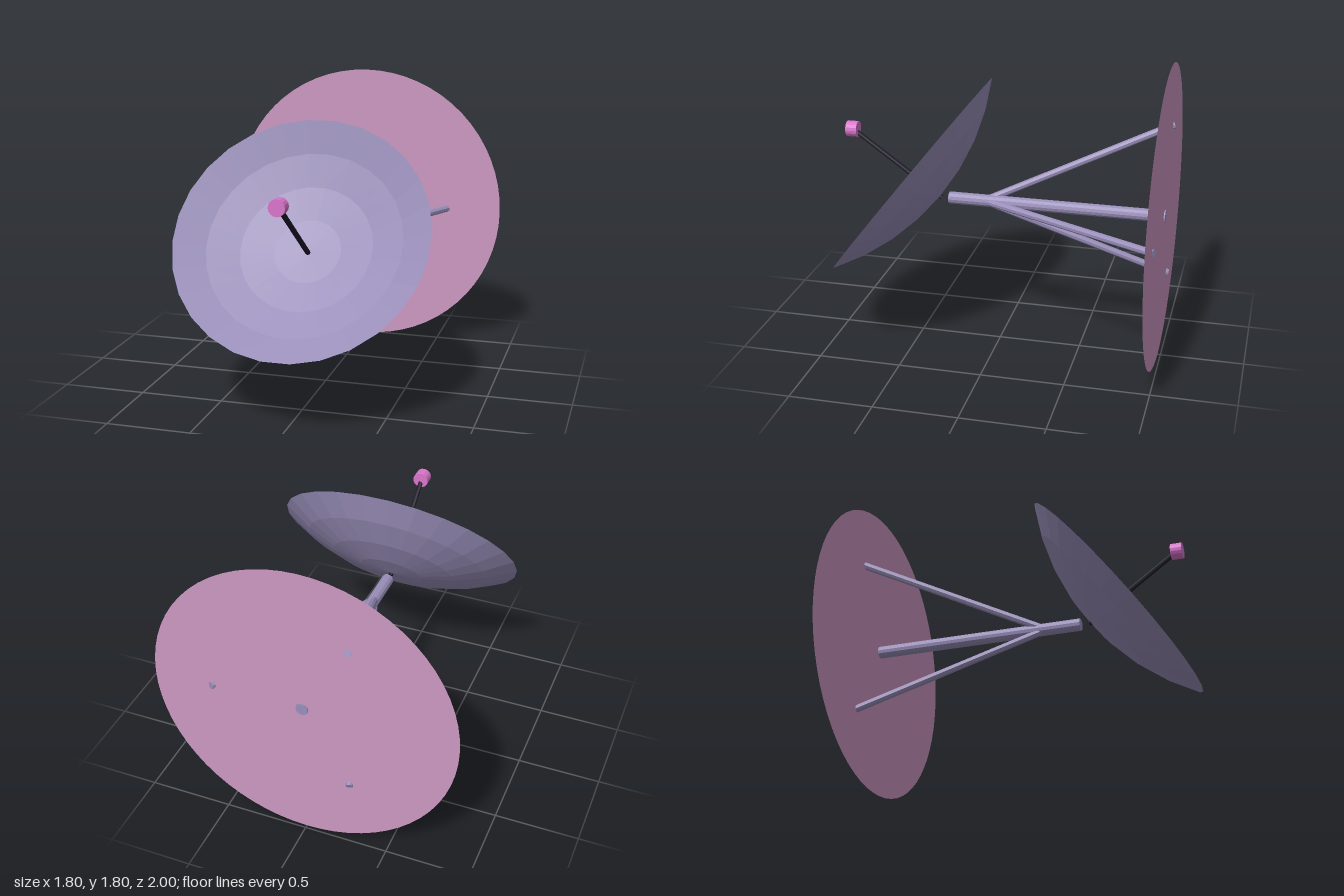
import * as THREE from 'three';

const mat = (name, color, side = THREE.FrontSide) => {
  const m = new THREE.MeshStandardMaterial({ color, side, flatShading: true });
  m.name = name;
  return m;
};

export function createModel() {
  const group = new THREE.Group();
  const lavender = mat('lavender metal', 0x9a8fba);
  const dishPaint = mat('lavender dish', 0x9a8fba, THREE.DoubleSide);
  const mauve = mat('mauve plate', 0xcb98c1, THREE.DoubleSide);
  const pink = mat('pink receiver', 0xda75cb);
  const black = mat('dark arm', 0x1d1a29);

  const add = (name, geometry, material) => {
    const mesh = new THREE.Mesh(geometry, material);
    mesh.name = name;
    group.add(mesh);
    return mesh;
  };

  // Round bar between two points
  const bar = (name, from, to, radius, sides, material) => {
    const a = new THREE.Vector3(...from), b = new THREE.Vector3(...to);
    const dir = b.clone().sub(a);
    const mesh = add(name, new THREE.CylinderGeometry(radius, radius, dir.length(), sides), material);
    mesh.position.copy(a).add(b).multiplyScalar(0.5);
    mesh.quaternion.setFromUnitVectors(new THREE.Vector3(0, 1, 0), dir.normalize());
    return mesh;
  };

  const axisY = 0.9;

  // Thin round mounting plate at the back
  add('mountingPlate', new THREE.CircleGeometry(0.9, 64), mauve).position.set(0, axisY, -0.982);

  // Central mast and three splayed struts
  bar('mast', [0, axisY + 0.005, -0.99], [0, axisY + 0.005, 0.315], 0.037, 12, lavender);
  for (let i = 0; i < 3; i++) {
    const t = (i * Math.PI * 2) / 3;
    bar('strut', [0, axisY + 0.003, 0.1],
      [0.55 * Math.cos(t), axisY + 0.003 + 0.55 * Math.sin(t), -0.99], 0.022, 8, lavender);
  }

  // Dish: shallow spherical cap, facing forward and up
  const R = 1.4, halfAngle = Math.asin(0.745 / R), sides = 28;
  const profile = [];
  for (let i = 0; i <= 4; i++) {
    const a = (halfAngle * i) / 4;
    profile.push(new THREE.Vector2(R * Math.sin(a), R * (Math.cos(halfAngle) - Math.cos(a))));
  }
  const dish = add('dish', new THREE.LatheGeometry(profile, sides, Math.PI / sides), dishPaint);
  dish.position.set(0, 1.0425, 0.5425);
  dish.rotation.x = Math.atan2(0.915, 1.175) * -1 + Math.PI / 2;

  // Feed arm with the receiver at its tip
  bar('feedArm', [0, 0.902, 0.365], [0, 1.285, 0.9], 0.015, 8, black);
  bar('receiver', [0, 1.295, 0.88], [0, 1.295, 0.948], 0.048, 16, pink);

  return group;
}
